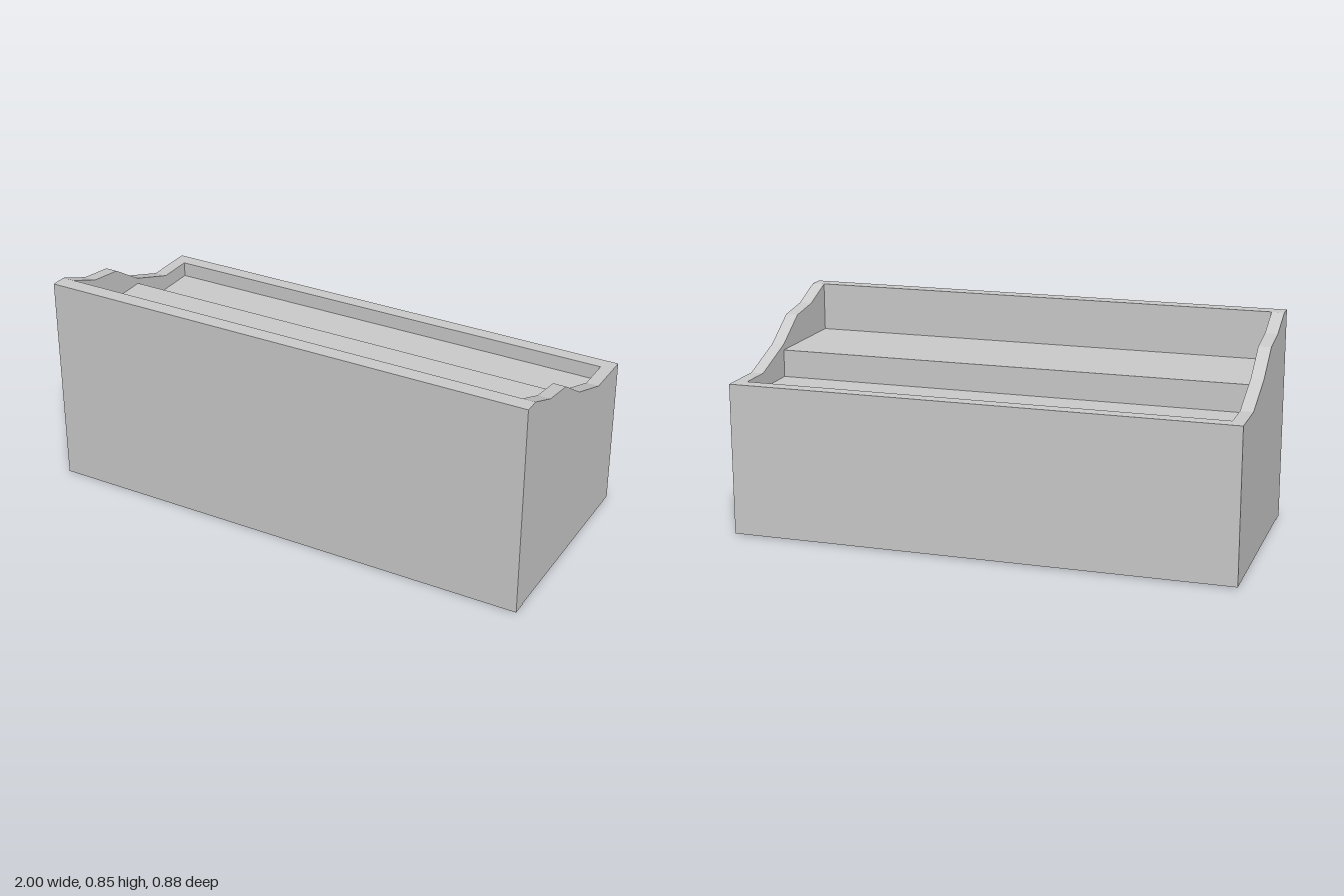
import * as THREE from 'three';

const material = new THREE.MeshStandardMaterial({ color: 0xcccccc });

// Box given by its limits on each axis
function block(name, [x0, x1], [y0, y1], [z0, z1]) {
  const mesh = new THREE.Mesh(new THREE.BoxGeometry(x1 - x0, y1 - y0, z1 - z0), material);
  mesh.position.set((x0 + x1) / 2, (y0 + y1) / 2, (z0 + z1) / 2);
  mesh.name = name;
  return mesh;
}

export function createModel() {
  const group = new THREE.Group();
  group.name = 'steppedPlanter';

  const base = 0.004, inner = 0.95, front = 0.38, back = -0.385, step = -0.042;

  // Tall front wall reaching the ground, and low back wall
  group.add(block('frontWall', [-1, 1], [0, 0.853], [front, 0.442]));
  group.add(block('backWall', [-1, 1], [base, 0.61], [back, -0.442].reverse()));

  // Side walls with a sloping, kinked top edge (profile as z, y)
  const profile = [
    [back, base], [front, base], [front, 0.853], [0.242, 0.797],
    [0.1, 0.776], [-0.042, 0.683], [-0.242, 0.61], [back, 0.61],
  ];
  const shape = new THREE.Shape(profile.map(([z, y]) => new THREE.Vector2(-z, y)));
  const sideGeometry = new THREE.ExtrudeGeometry(shape, { depth: 1 - inner, bevelEnabled: false });
  sideGeometry.rotateY(Math.PI / 2);
  for (const [name, x] of [['leftWall', inner], ['rightWall', -1]]) {
    const wall = new THREE.Mesh(sideGeometry, material);
    wall.position.x = x;
    wall.name = name;
    group.add(wall);
  }

  // Two-level filling between the walls
  group.add(block('upperStep', [-inner, inner], [base, 0.66], [step, front]));
  group.add(block('lowerStep', [-inner, inner], [base, 0.55], [back, step]));

  return group;
}
